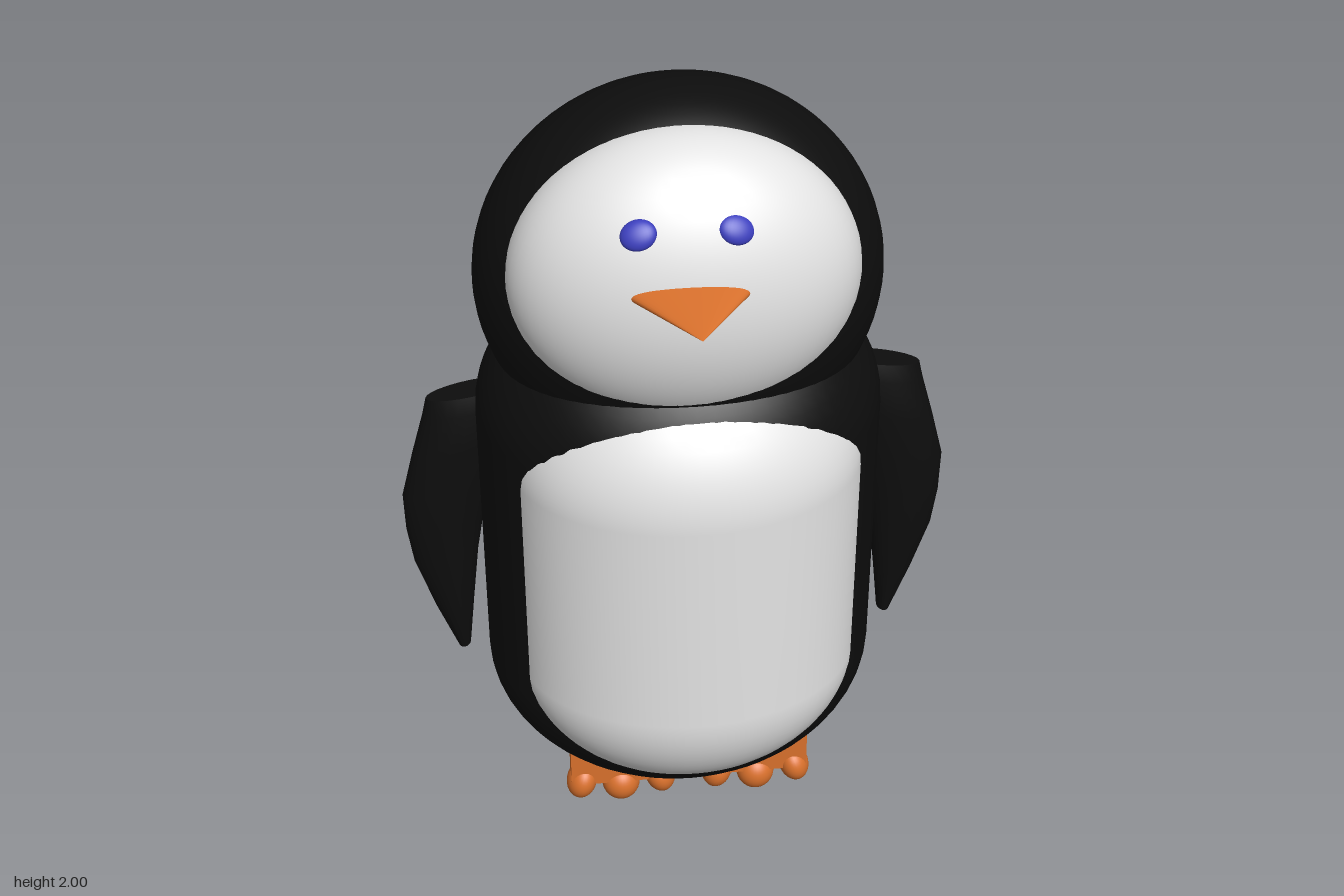
import * as THREE from 'three';
import { toCreasedNormals } from 'three/addons/utils/BufferGeometryUtils.js';

const paint = (name, color) => {
  const m = new THREE.MeshStandardMaterial({ color });
  m.name = name;
  return m;
};

// Rounded column: straight side between y0 and y1 with elliptical caps
function column(rx, rz, cap, y0, y1) {
  const pts = [];
  const n = 16;
  for (let i = 0; i <= n; i++) {
    const a = (i / n) * Math.PI / 2;
    pts.push(new THREE.Vector2(Math.sin(a), y0 - cap * Math.cos(a)));
  }
  for (let i = 0; i <= n; i++) {
    const a = (i / n) * Math.PI / 2;
    pts.push(new THREE.Vector2(Math.cos(a), y1 + cap * Math.sin(a)));
  }
  return new THREE.LatheGeometry(pts, 64).scale(rx, 1, rz);
}

const ellipsoid = (rx, ry, rz, w = 32, h = 20) =>
  new THREE.SphereGeometry(1, w, h).scale(rx, ry, rz);

// Flipper lofted through elliptical sections: y, inner x, outer x, half depth
function flipperGeometry() {
  const sections = [
    [1.262, 0.46, 0.46, 0],
    [1.262, 0.36, 0.565, 0.036],
    [1.22, 0.365, 0.575, 0.046],
    [1.12, 0.38, 0.604, 0.048],
    [1.0, 0.42, 0.635, 0.048],
    [0.9, 0.45, 0.633, 0.046],
    [0.8, 0.468, 0.62, 0.042],
    [0.66, 0.485, 0.577, 0.035],
    [0.53, 0.5, 0.53, 0.022],
    [0.515, 0.514, 0.514, 0],
  ];
  const seg = 24, pos = [], idx = [];
  sections.forEach(([y, xi, xo, hz], i) => {
    for (let j = 0; j < seg; j++) {
      const a = (j / seg) * Math.PI * 2;
      const dx = Math.cos(a) * (xo - xi) / 2;
      pos.push((xi + xo) / 2 + dx, y - 0.17 * dx, Math.sin(a) * hz);
      if (i < sections.length - 1) {
        const k = (j + 1) % seg, p = i * seg, q = p + seg;
        idx.push(p + j, p + k, q + j, p + k, q + k, q + j);
      }
    }
  });
  const g = new THREE.BufferGeometry();
  g.setAttribute('position', new THREE.Float32BufferAttribute(pos, 3));
  g.setIndex(idx);
  return toCreasedNormals(g, 0.7);
}

export function createModel() {
  const black = paint('black feathers', 0x0d0d0d);
  const white = paint('white feathers', 0xe4e4e4);
  const orange = paint('orange skin', 0xd8702c);
  const blue = paint('blue eyes', 0x3c3fbe);

  const model = new THREE.Group();
  model.name = 'penguin';
  const add = (name, geometry, material, x, y, z, parent = model) => {
    const mesh = new THREE.Mesh(geometry, material);
    mesh.name = name;
    mesh.position.set(x, y, z);
    parent.add(mesh);
    return mesh;
  };

  // Body and belly
  add('body', column(0.46, 0.39, 0.35, 0.55, 1.22), black, 0, 0, -0.08);
  add('belly', column(0.397, 0.31, 0.32, 0.61, 1.15), white, 0.002, 0, 0.05);

  // Head and face
  add('head', ellipsoid(0.45, 0.44, 0.345, 64, 40), black, 0, 1.56, -0.075);
  add('face', ellipsoid(0.38, 0.335, 0.238, 64, 40), white, -0.006, 1.633, 0.07);

  // Beak: flattened cone pointing forward
  const beak = new THREE.ConeGeometry(1, 0.18, 40).rotateX(Math.PI / 2).scale(0.126, 0.028, 1);
  add('beak', beak, orange, -0.017, 1.703, 0.372);

  // Eyes: thin buttons lying on the face
  for (const [name, x, side] of [['rightEye', -0.12, -1], ['leftEye', 0.078, 1]]) {
    const eye = add(name, ellipsoid(0.038, 0.032, 0.016), blue, x, 1.828, 0.249);
    eye.rotation.set(-0.62, side * 0.2, -side * 0.2);
  }

  // Flippers
  const flipper = flipperGeometry();
  add('leftFlipper', flipper, black, 0, 0, -0.127);
  add('rightFlipper', flipper, black, -0.005, -0.017, -0.132).rotation.y = Math.PI;

  // Legs with three toes each
  for (const [name, x] of [['rightLeg', -0.148], ['leftLeg', 0.199]]) {
    const leg = new THREE.Group();
    leg.name = name;
    leg.position.set(x, 0, -0.085);
    model.add(leg);
    add('shin', new THREE.BoxGeometry(0.256, 0.23, 0.048), orange, 0, 0.185, 0, leg);
    for (const s of [-1, 0, 1]) {
      const toe = add('toe', ellipsoid(s ? 0.038 : 0.048, 0.05, 0.047), orange,
        s * 0.1, s ? 0.067 : 0.052, -0.003, leg);
      toe.rotation.z = s * 0.3;
    }
  }
  return model;
}
